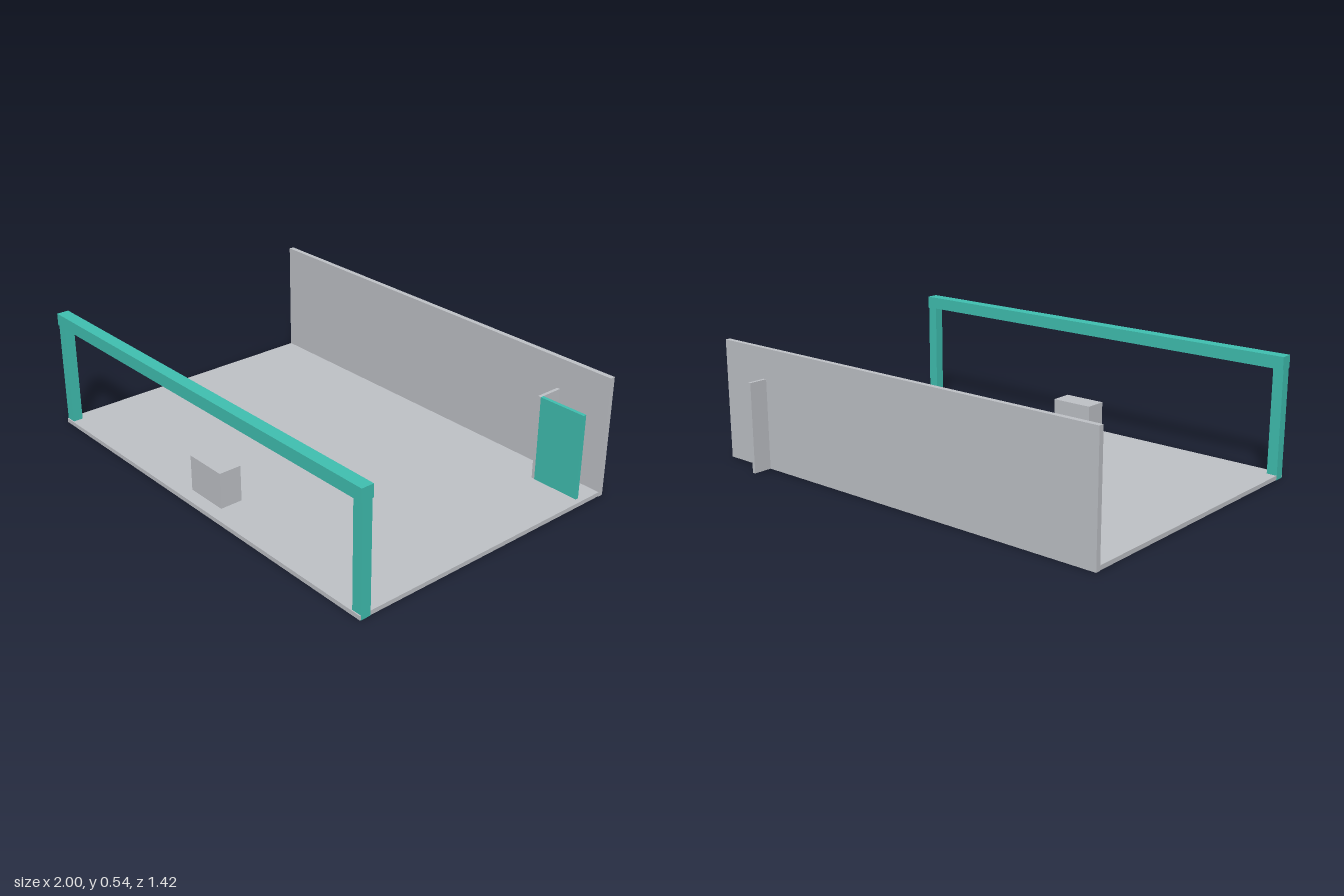
import * as THREE from 'three';

export function createModel() {
  const group = new THREE.Group();
  const grey = new THREE.MeshStandardMaterial({ color: 0xc0c3c8 });
  grey.name = 'light grey';
  const teal = new THREE.MeshStandardMaterial({ color: 0x40c1b2 });
  teal.name = 'teal';

  // Box given by its extents along each axis
  const box = (name, material, [x0, x1], [y0, y1], [z0, z1]) => {
    const mesh = new THREE.Mesh(new THREE.BoxGeometry(x1 - x0, y1 - y0, z1 - z0), material);
    mesh.position.set((x0 + x1) / 2, (y0 + y1) / 2, (z0 + z1) / 2);
    mesh.name = name;
    group.add(mesh);
  };

  // Floor slab and back wall
  box('floor', grey, [-0.999, 0.999], [0.001, 0.02], [-0.624, 0.71]);
  box('backWall', grey, [-1, 1], [0, 0.535], [-0.625, -0.602]);

  // Front portal: two posts under a slightly deeper beam
  box('rightPost', teal, [-1, -0.953], [0, 0.48], [0.66, 0.705]);
  box('leftPost', teal, [0.953, 1], [0, 0.48], [0.66, 0.705]);
  box('topBeam', teal, [-1, 1], [0.48, 0.535], [0.655, 0.71]);

  // Counter block near the front edge
  box('counter', grey, [-0.1, 0.1], [0.02, 0.18], [0.548, 0.65]);

  // Partition passing through the back wall, with a panel across its front
  box('partition', grey, [0.74, 0.755], [0, 0.4], [-0.71, -0.485]);
  box('panel', teal, [0.755, 0.975], [0.02, 0.4], [-0.5, -0.484]);

  return group;
}
